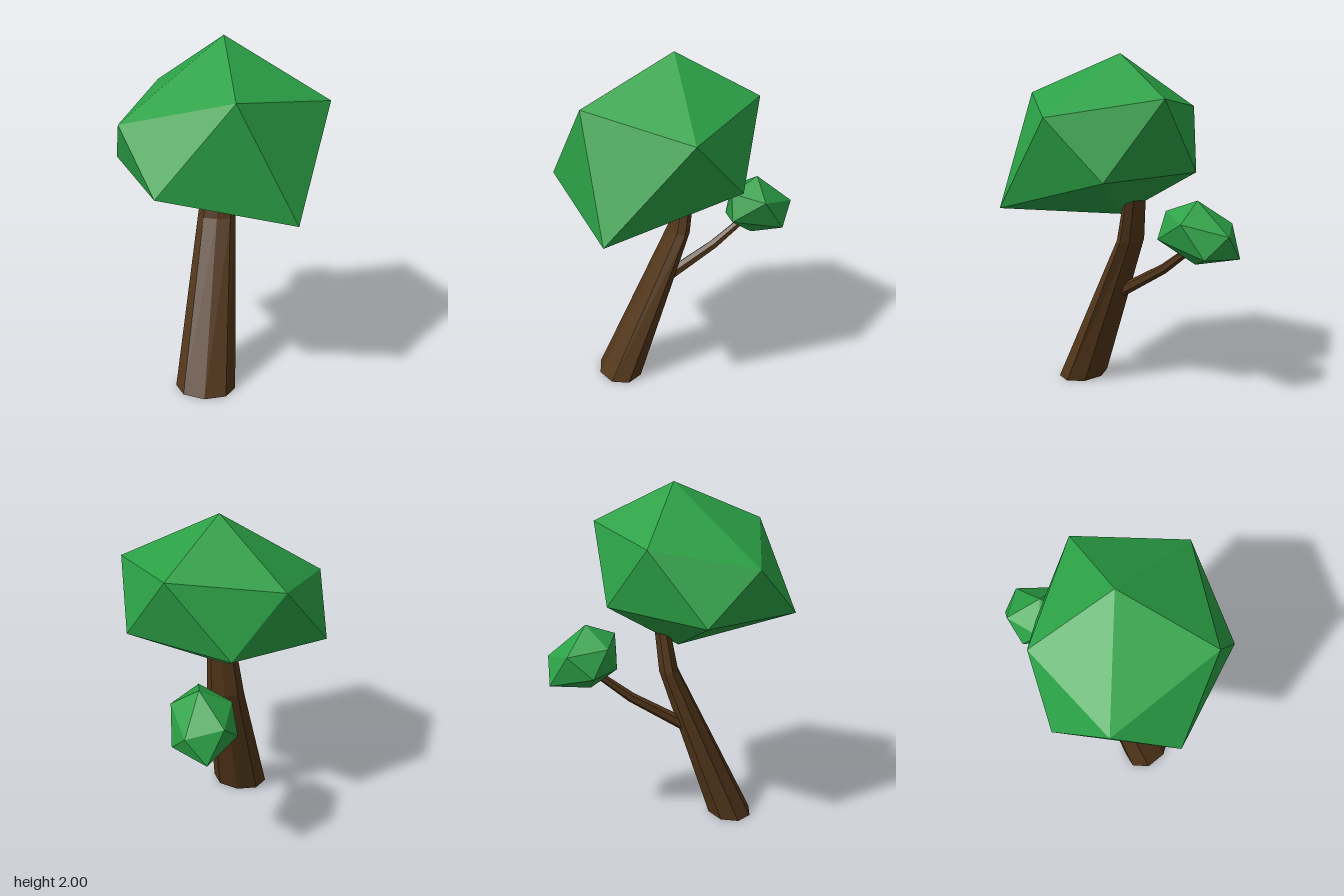
import * as THREE from 'three';

const leaf = new THREE.MeshStandardMaterial({ color: 0x2ba146, flatShading: true });
const bark = new THREE.MeshStandardMaterial({ color: 0x52361a, flatShading: true });

// Irregular 20-sided leaf clump: tip, two staggered rings of five, underside point.
// Rings run anticlockwise seen from above; lower[i] sits between upper[i] and upper[i + 1].
function clump(name, top, upper, lower, bottom) {
  const index = [];
  for (let i = 0; i < 5; i++) {
    const j = (i + 1) % 5;
    const u = 1 + i, u2 = 1 + j, l = 6 + i, l2 = 6 + j;
    index.push(0, u, u2, u, l, u2, u2, l, l2, l, 11, l2);
  }
  const geo = new THREE.BufferGeometry();
  const points = [top, ...upper, ...lower, bottom].flat();
  geo.setAttribute('position', new THREE.Float32BufferAttribute(points, 3));
  geo.setIndex(index);
  const flat = geo.toNonIndexed();
  flat.computeVertexNormals();
  const mesh = new THREE.Mesh(flat, leaf);
  mesh.name = name;
  return mesh;
}

// Bent, tapering limb: each row of a cylinder is scaled, tilted about x and moved to its place.
// rows run from the far end to the root: { at, rx, rz, tilt }
function limb(name, sides, turn, rows) {
  const n = rows.length - 1;
  const geo = new THREE.CylinderGeometry(1, 1, 1, sides, n);
  geo.rotateY(turn);
  const pos = geo.attributes.position;
  const v = new THREE.Vector3();
  const axis = new THREE.Vector3(1, 0, 0);
  for (let i = 0; i < pos.count; i++) {
    v.fromBufferAttribute(pos, i);
    const { at, rx, rz, tilt } = rows[Math.round((0.5 - v.y) * n)];
    v.set(v.x * rx, 0, v.z * rz).applyAxisAngle(axis, tilt);
    pos.setXYZ(i, v.x + at[0], v.y + at[1], v.z + at[2]);
  }
  geo.computeVertexNormals();
  const mesh = new THREE.Mesh(geo, bark);
  mesh.name = name;
  return mesh;
}

export function createModel() {
  const tree = new THREE.Group();
  tree.name = 'tree';

  // Leaning trunk that straightens below the crown
  tree.add(limb('trunk', 8, 0.08, [
    { at: [-0.025, 1.24, -0.045], rx: 0.085, rz: 0.043, tilt: 0 },
    { at: [-0.037, 0.925, 0], rx: 0.112, rz: 0.057, tilt: -0.1 },
    { at: [-0.048, 0, 0.38], rx: 0.174, rz: 0.132, tilt: 0 },
  ]));

  // Side branch reaching back
  tree.add(limb('branch', 6, 0, [
    { at: [-0.05, 0.96, -0.46], rx: 0.022, rz: 0.02, tilt: -0.87 },
    { at: [-0.055, 0.775, -0.225], rx: 0.03, rz: 0.029, tilt: -0.98 },
    { at: [-0.06, 0.58, 0.1], rx: 0.04, rz: 0.038, tilt: -1.05 },
  ]));

  // Main crown
  tree.add(clump('crown', [0.01, 2, 0.04],
    [[0.15, 1.77, 0.59], [0.6, 1.675, 0.1], [0.19, 1.77, -0.39], [-0.41, 1.69, -0.19], [-0.5, 1.58, 0.4]],
    [[0.475, 1.125, 0.56], [0.48, 1.34, -0.2], [-0.16, 1.34, -0.37], [-0.6, 1.3, 0.09], [-0.25, 1.28, 0.69]],
    [-0.03, 1.07, 0.06]));

  // Small clump at the end of the branch
  tree.add(clump('branchLeaves', [-0.01, 1.21, -0.475],
    [[0.01, 1.035, -0.69], [-0.18, 1.07, -0.6], [-0.165, 1.1, -0.37], [0.04, 1.14, -0.3], [0.15, 1.1, -0.47]],
    [[-0.11, 0.89, -0.695], [-0.22, 0.945, -0.46], [-0.09, 0.96, -0.31], [0.1, 0.985, -0.285], [0.11, 0.91, -0.6]],
    [-0.03, 0.84, -0.455]));

  return tree;
}
